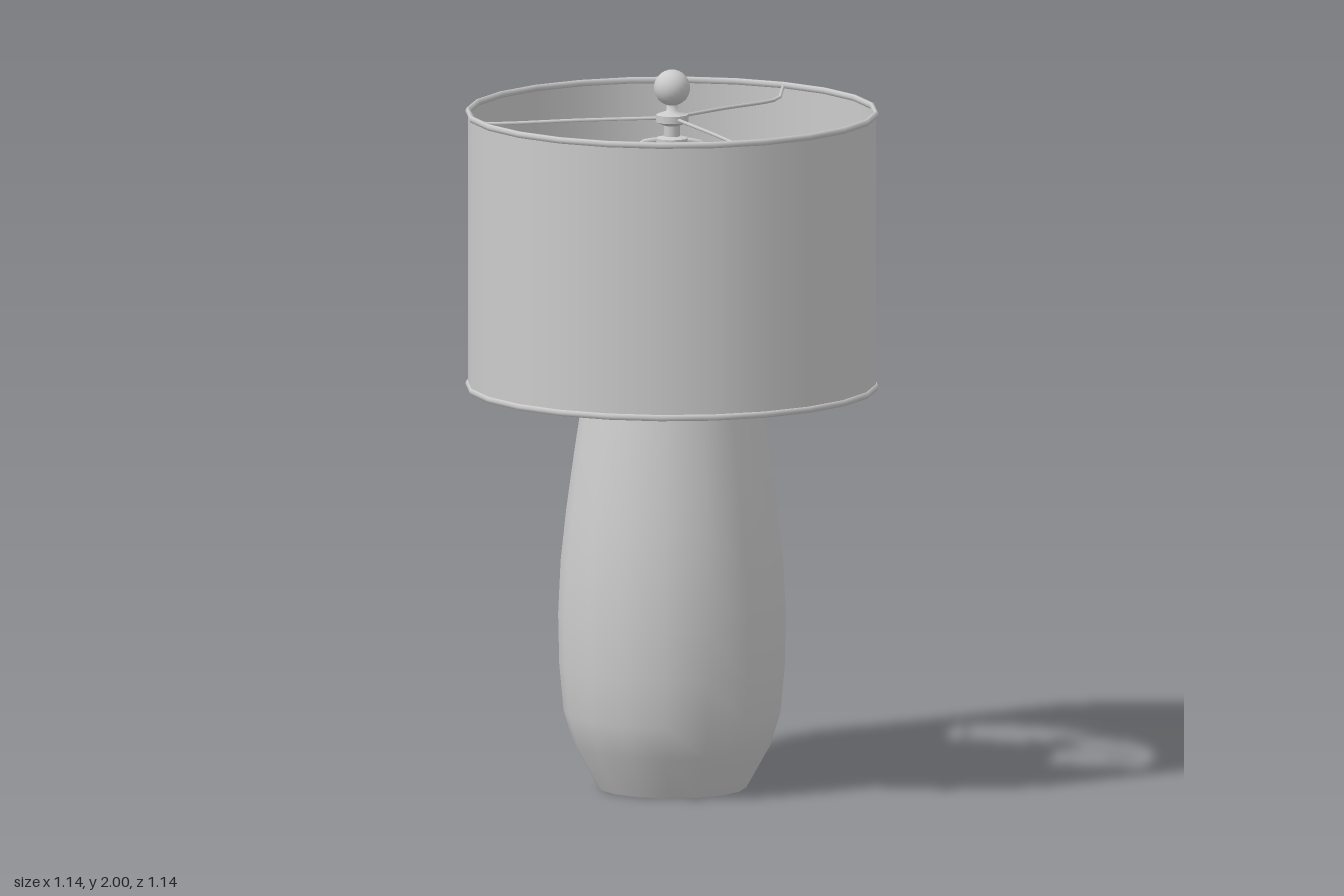
import * as THREE from 'three';

const material = new THREE.MeshStandardMaterial({ color: 0xcccccc });
const thin = new THREE.MeshStandardMaterial({ color: 0xcccccc, side: THREE.DoubleSide });

function add(parent, name, geometry, mat = material) {
  const mesh = new THREE.Mesh(geometry, mat);
  mesh.name = name;
  parent.add(mesh);
  return mesh;
}

// Surface of revolution; each run of points is smooth and meets the next at a sharp edge
function turned(parent, name, runs, sides) {
  const part = new THREE.Group();
  part.name = name;
  for (const run of runs) {
    const points = run.map(([r, y]) => new THREE.Vector2(r, y));
    add(part, name + 'Surface', new THREE.LatheGeometry(points, sides));
  }
  parent.add(part);
}

// Round wire through points
function wire(parent, name, points, radius, steps) {
  const curve = new THREE.CatmullRomCurve3(points.map((p) => new THREE.Vector3(...p)), false, 'centripetal');
  return add(parent, name, new THREE.TubeGeometry(curve, steps, radius, 6));
}

export function createModel() {
  const lamp = new THREE.Group();
  lamp.name = 'tableLamp';

  // Vase-shaped body
  turned(lamp, 'body', [
    [[0, 0], [0.205, 0]],
    [[0.205, 0], [0.272, 0.12], [0.299, 0.21], [0.311, 0.34], [0.314, 0.48],
      [0.307, 0.63], [0.292, 0.77], [0.27, 0.93], [0.246, 1.09], [0.238, 1.14]],
  ], 16);

  // Cap with a stepped rim
  turned(lamp, 'cap', [
    [[0.22, 1.135], [0.25, 1.135]],
    [[0.25, 1.135], [0.25, 1.16]],
    [[0.25, 1.16], [0.232, 1.16]],
    [[0.232, 1.16], [0.232, 1.17]],
    [[0.232, 1.17], [0, 1.17]],
  ], 16);

  // Lamp socket
  turned(lamp, 'socket', [
    [[0.045, 1.17], [0.045, 1.39]],
    [[0.045, 1.39], [0.073, 1.41]],
    [[0.073, 1.41], [0.073, 1.49]],
    [[0.073, 1.49], [0.045, 1.56]],
    [[0.045, 1.56], [0, 1.56]],
  ], 12);

  // Harp wire around the socket
  const half = [[0.08, 1.797], [0.115, 1.76], [0.135, 1.7], [0.155, 1.62], [0.195, 1.42],
    [0.218, 1.27], [0.235, 1.2], [0.22, 1.178], [0.04, 1.178]];
  const harp = [
    ...half.map(([x, y]) => [-x, y, 0]).reverse(),
    [0, 1.803, 0],
    ...half.map(([x, y]) => [x, y, 0]),
  ];
  wire(lamp, 'harp', harp, 0.008, 72);

  // Threaded stud, washers and ball finial
  turned(lamp, 'finialStem', [
    [[0, 1.79], [0.045, 1.79]],
    [[0.045, 1.79], [0.045, 1.81]],
    [[0.045, 1.81], [0.022, 1.815]],
    [[0.022, 1.815], [0.022, 1.845]],
    [[0.022, 1.845], [0.045, 1.855]],
    [[0.045, 1.855], [0.045, 1.875]],
    [[0.045, 1.875], [0.016, 1.885], [0.014, 1.91]],
  ], 12);
  add(lamp, 'finialBall', new THREE.SphereGeometry(0.05, 20, 14)).position.y = 1.95;

  // Drum shade with a rolled edge at top and bottom
  const shade = new THREE.Group();
  shade.name = 'shade';
  lamp.add(shade);
  add(shade, 'shadeWall', new THREE.CylinderGeometry(0.563, 0.563, 0.76, 24, 1, true), thin).position.y = 1.5;
  for (const y of [1.12, 1.88]) {
    const rim = add(shade, 'shadeRim', new THREE.TorusGeometry(0.563, 0.007, 6, 24));
    rim.rotation.x = Math.PI / 2;
    rim.scale.z = 1.4;
    rim.position.y = y;
  }

  // Three upper arms, dipping and then hooking up to the rim
  for (let i = 0; i < 3; i++) {
    const arm = wire(shade, 'upperArm',
      [[0.03, 1.865, 0], [0.25, 1.857, 0], [0.5, 1.845, 0], [0.54, 1.848, 0], [0.56, 1.88, 0]], 0.005, 16);
    arm.rotation.y = Math.PI / 3 + (i * Math.PI * 2) / 3;
  }

  // Eight lower spokes from the cap to the bottom rim
  for (let i = 0; i < 8; i++) {
    const spoke = wire(shade, 'lowerSpoke', [[0.225, 1.145, 0], [0.56, 1.12, 0]], 0.004, 1);
    spoke.rotation.y = (i * Math.PI) / 4;
  }

  return lamp;
}
